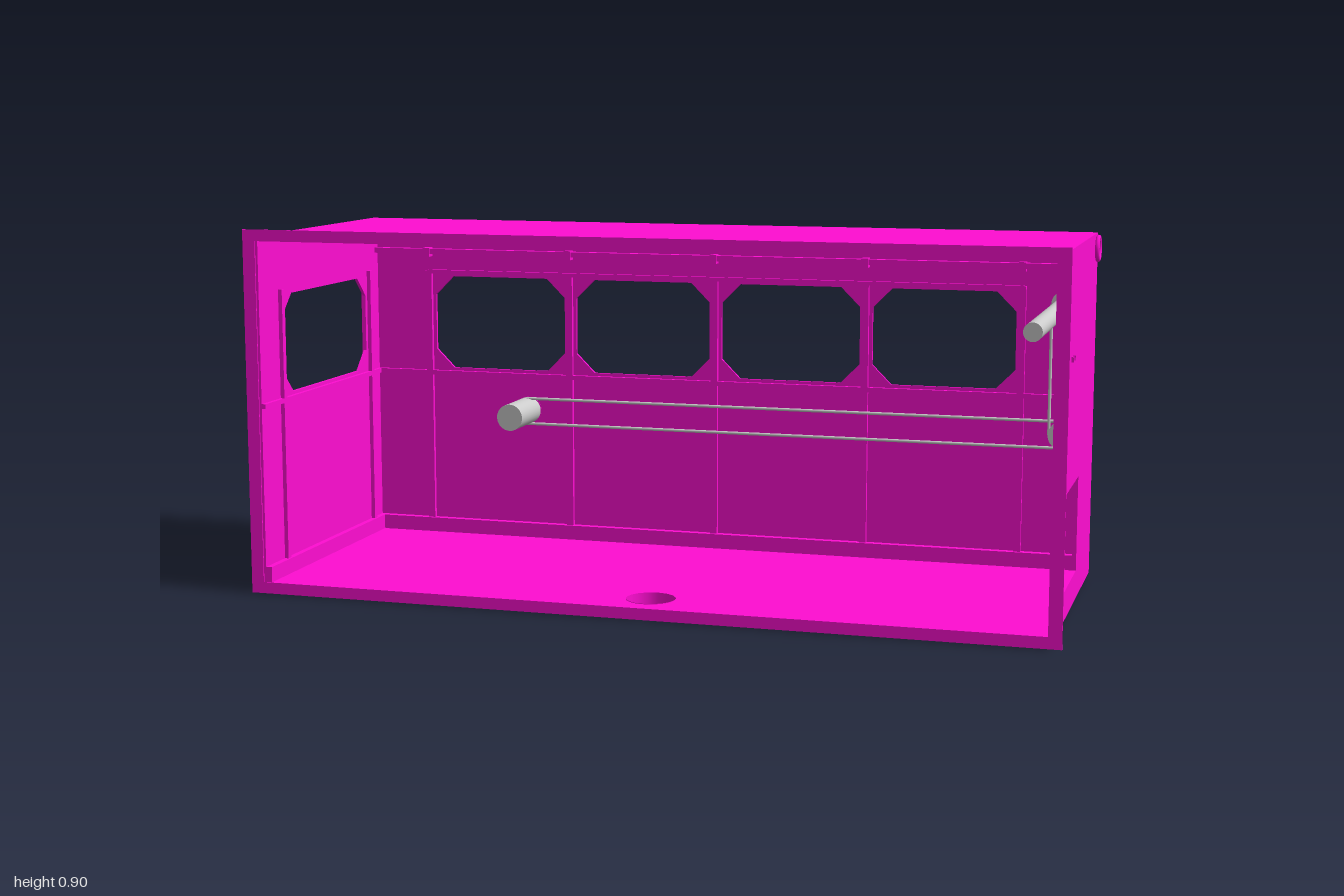
import * as THREE from 'three';

const bodyMat = new THREE.MeshStandardMaterial({ color: 0xff0dd2, side: THREE.DoubleSide });
const greyMat = new THREE.MeshStandardMaterial({ color: 0xcccccc });

const L = -0.97, R = 0.98, FRONT = 0.362, BACK = -0.364, BOTTOM = 0.02, TOP = 0.882;
const POSTS = [-0.8, -0.4, 0, 0.4, 0.8];

// closed outline of a rectangle, with corners cut by c
function outline(Type, x0, y0, x1, y1, c = 0) {
  const p = c
    ? [[x0 + c, y0], [x1 - c, y0], [x1, y0 + c], [x1, y1 - c], [x1 - c, y1], [x0 + c, y1], [x0, y1 - c], [x0, y0 + c]]
    : [[x0, y0], [x1, y0], [x1, y1], [x0, y1]];
  return new Type(p.map(([x, y]) => new THREE.Vector2(x, y)));
}
const rect = (...a) => outline(THREE.Shape, ...a);
const hole = (...a) => outline(THREE.Path, ...a);

export function createModel() {
  const model = new THREE.Group();
  model.name = 'cabinShell';

  function add(name, geometry, material = bodyMat) {
    const mesh = new THREE.Mesh(geometry, material);
    mesh.name = name;
    model.add(mesh);
    return mesh;
  }
  // box given by its two opposite corners
  function box(name, x0, x1, y0, y1, z0, z1, material) {
    const m = add(name, new THREE.BoxGeometry(x1 - x0, y1 - y0, z1 - z0), material);
    m.position.set((x0 + x1) / 2, (y0 + y1) / 2, (z0 + z1) / 2);
    return m;
  }
  // sheet with holes, extruded along +z
  function sheet(name, shape, holes, depth) {
    shape.holes.push(...holes);
    return add(name, new THREE.ExtrudeGeometry(shape, { depth, bevelEnabled: false, curveSegments: 16 }));
  }
  // cylinder running along z
  function rod(name, x, y, r, z0, z1, material = greyMat) {
    const g = new THREE.CylinderGeometry(r, r, z1 - z0, 32).rotateX(Math.PI / 2);
    add(name, g, material).position.set(x, y, (z0 + z1) / 2);
  }
  // thin straight bar between two points
  function bar(name, a, b, r) {
    const path = new THREE.LineCurve3(new THREE.Vector3(...a), new THREE.Vector3(...b));
    add(name, new THREE.TubeGeometry(path, 1, r, 8), greyMat);
  }

  // roof, and floor with a round drain
  box('roof', L, R, TOP - 0.01, TOP, BACK, FRONT);
  const drain = new THREE.Path().absarc(0.01, -0.263, 0.06, 0, Math.PI * 2, true);
  const floor = sheet('floor', rect(L, -FRONT, R, -BACK), [drain], 0.01);
  floor.rotation.x = -Math.PI / 2;
  floor.position.y = BOTTOM;
  add('drainPipe', new THREE.CylinderGeometry(0.06, 0.06, 0.03, 16, 1, true)).position.set(0.01, 0.016, 0.263);

  // back wall: outer skin with window band and slots
  const slots = POSTS.flatMap((x) => [hole(x - 0.024, 0.07, x - 0.003, 0.45), hole(x + 0.003, 0.07, x + 0.024, 0.45)]);
  slots.push(hole(L + 0.01, 0.07, L + 0.035, 0.45));
  sheet('backSkin', rect(L, BOTTOM, R, TOP), [hole(-0.8, 0.468, 0.8, 0.745), ...slots], 0.01).position.z = BACK;

  // back wall: inner liner with the four octagonal windows
  const windows = POSTS.slice(0, 4).map((x) => hole(x + 0.018, 0.482, x + 0.385, 0.73, 0.05));
  sheet('backLiner', rect(L, BOTTOM, R, TOP), windows, 0.008).position.z = BACK + 0.01;
  box('backSeam', L, R, 0.456, 0.464, BACK - 0.002, BACK + 0.002);

  // inside framing of the back wall
  const zi = BACK + 0.017;
  box('baseboard', L, R, BOTTOM, 0.068, zi, zi + 0.02);
  box('windowSill', L, R, 0.462, 0.474, zi, zi + 0.012);
  box('windowHead', -0.805, 0.805, 0.737, 0.747, zi, zi + 0.012);
  for (const x of POSTS) {
    box('wallRib', x - 0.009, x + 0.009, 0.068, 0.745, zi, zi + 0.012);
    for (const y of [0.795, 0.85]) {
      box('railBracket', x - 0.009, x + 0.009, y - 0.012, y + 0.012, BACK - 0.003, zi + 0.026);
    }
  }
  for (const y of [0.797, 0.843]) box('wallRail', L, R, y - 0.007, y + 0.007, zi, zi + 0.022);
  box('ceilingTrim', L, R, 0.862, 0.876, zi, zi + 0.03);

  // right end wall in local z/y, with the low rectangular opening
  const leftEnd = sheet('plainEndWall', rect(BACK, BOTTOM, FRONT, TOP), [hole(-0.06, 0.09, 0.32, 0.32)], 0.01);
  leftEnd.rotation.y = -Math.PI / 2;
  leftEnd.position.x = R;
  for (const z of [0.115, 0.15]) box('endBolt', R, R + 0.006, 0.622, 0.634, z - 0.005, z + 0.005);

  // window end wall: skin and liner
  const endSkin = sheet('windowEndSkin', rect(BACK, BOTTOM, FRONT, TOP), [hole(-0.275, 0.468, 0.25, 0.745)], 0.01);
  const endLiner = sheet('windowEndLiner', rect(BACK, BOTTOM, FRONT, TOP), [hole(-0.26, 0.482, 0.235, 0.73, 0.05)], 0.008);
  endSkin.rotation.y = endLiner.rotation.y = -Math.PI / 2;
  endSkin.position.x = L + 0.01;
  endLiner.position.x = L + 0.018;
  box('endSeam', L - 0.002, L + 0.002, 0.456, 0.464, BACK, FRONT);
  const xi = L + 0.018;
  box('endBaseboard', xi, xi + 0.015, BOTTOM, 0.068, BACK, FRONT);
  box('endSill', xi, xi + 0.01, 0.462, 0.474, BACK, FRONT);
  for (const z of [-0.28, 0.25]) box('endRib', xi, xi + 0.01, 0.068, 0.745, z - 0.008, z + 0.008);

  // flange around the open front
  sheet('frontFlange', rect(-0.99, 0.002, 1.0, 0.9), [hole(L + 0.012, 0.03, R - 0.012, 0.872)], 0.003).position.z = FRONT;

  // small corner tab and the rings at the upper back corners
  box('cornerTab', -1, L, 0.02, 0.07, BACK, BACK + 0.005);
  for (const x of [L - 0.006, R + 0.005]) {
    const ring = add('cornerRing', new THREE.TorusGeometry(0.028, 0.006, 8, 24));
    ring.rotation.y = Math.PI / 2;
    ring.position.set(x, 0.845, -0.33);
  }

  // motor, pulleys and shaft
  const pulleys = [[-0.52, 0.375], [0.91, 0.375], [0.91, 0.705]];
  for (const [x, y] of pulleys) rod('bearingCap', x, y, 0.037, BACK - 0.003, zi + 0.002, bodyMat);
  rod('motor', -0.52, 0.375, 0.035, zi, -0.2);
  rod('lowerPulley', 0.91, 0.375, 0.036, zi, zi + 0.035);
  rod('lowerHub', 0.91, 0.375, 0.014, zi, zi + 0.05);
  rod('upperPulley', 0.91, 0.705, 0.035, zi, zi + 0.035);
  rod('driveShaft', 0.91, 0.705, 0.022, zi, 0.3);

  // belts and the bent pipe beside them
  const zb = zi + 0.02;
  for (const s of [-0.034, 0.034]) {
    bar('longBelt', [-0.52, 0.375 + s, zb], [0.91, 0.375 + s, zb], 0.004);
    bar('shortBelt', [0.91 + s, 0.375, zb + 0.008], [0.91 + s, 0.705, zb + 0.008], 0.004);
  }
  bar('pipeBend', [0.93, 0.7, zb], [0.96, 0.63, zb], 0.008);
  bar('pipe', [0.96, 0.635, zb], [0.96, 0.335, zb], 0.008);

  return model;
}
